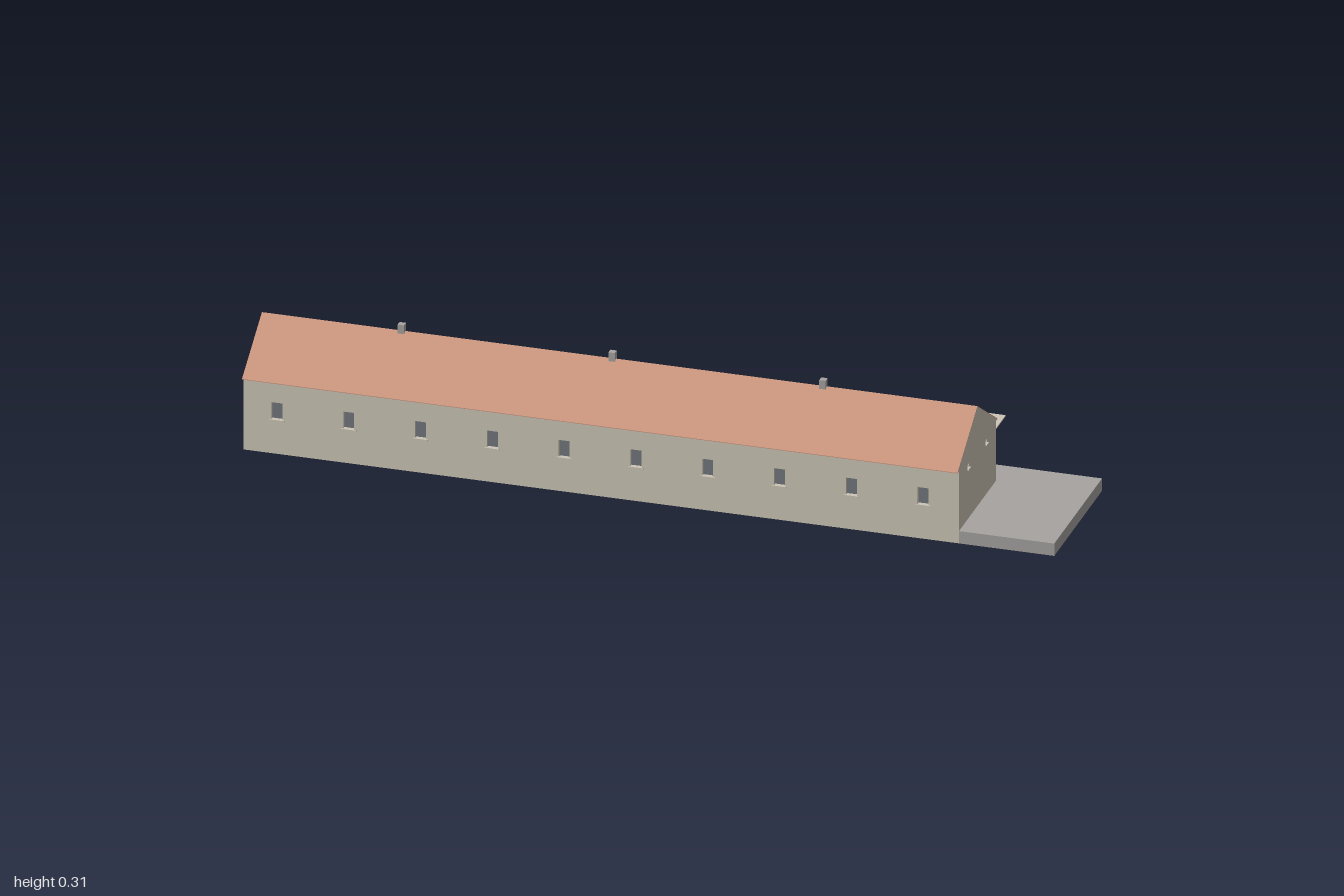
import * as THREE from 'three';

const mat = (name, color) => {
  const m = new THREE.MeshStandardMaterial({ color });
  m.name = name;
  return m;
};

export function createModel() {
  const group = new THREE.Group();
  const plaster = mat('plaster', 0xcdc6b6);
  const concrete = mat('concrete', 0xa6a3a0);
  const tile = mat('roof tile', 0xca957d);
  const glass = mat('glass', 0x72777e);
  const wood = mat('door wood', 0x84684f);

  const X0 = -1, X1 = 0.765, LEN = X1 - X0, CX = (X0 + X1) / 2;
  const ZF = 0.186, ZB = -0.11, EAVE = 0.187, RIDGE = 0.29, ZR = 0.038;
  const T = 0.014;

  const add = (name, geo, material, x = 0, y = 0, z = 0, parent = group) => {
    const mesh = new THREE.Mesh(geo, material);
    mesh.name = name;
    mesh.position.set(x, y, z);
    parent.add(mesh);
    return mesh;
  };
  const box = (name, material, w, h, d, x, y, z) =>
    add(name, new THREE.BoxGeometry(w, h, d), material, x, y, z);
  const poly = (pts) => new THREE.Shape(pts.map(([a, b]) => new THREE.Vector2(a, b)));
  const rect = (cx, y0, w, h) =>
    poly([[cx - w / 2, y0], [cx + w / 2, y0], [cx + w / 2, y0 + h], [cx - w / 2, y0 + h]]);
  const extrude = (shape, depth) =>
    new THREE.ExtrudeGeometry(shape, { depth, bevelEnabled: false });
  // Extrudes a (z, y) section along x, ending at x = xEnd
  const alongX = (name, shape, depth, xEnd, material) => {
    const mesh = add(name, extrude(shape, depth), material, xEnd);
    mesh.rotation.y = -Math.PI / 2;
    return mesh;
  };

  // Ground slab, reaching past one end and behind the house
  box('slab', concrete, 1.999, 0.032, 0.38, 0.0005, 0.016, -0.005);

  // Long walls with openings, panes, sills and doors
  const bays = Array.from({ length: 10 }, (_, i) => -0.917 + i * 0.1771);
  const longWall = (name, z, out, hasDoors) => {
    const shape = rect(CX, 0.0005, LEN, EAVE - 0.0005);
    const face = z - out * 0.0105;
    bays.forEach((x, i) => {
      if (hasDoors && i % 2 === 1) {
        shape.holes.push(rect(x, 0.033, 0.056, 0.1));
        box('door', wood, 0.058, 0.102, 0.003, x, 0.083, face);
      } else {
        shape.holes.push(rect(x, 0.088, 0.027, 0.045));
        box('window', glass, 0.029, 0.047, 0.003, x, 0.1105, face);
        box('windowSill', plaster, 0.037, 0.004, 0.014, x, 0.087, z - out * 0.004);
      }
    });
    add(name, extrude(shape, T), plaster, 0, 0, out > 0 ? z - T : z);
  };
  longWall('frontWall', ZF, 1, false);
  longWall('backWall', ZB, -1, true);

  // End walls; one has two small vent windows
  const endShape = () => rect((ZF + ZB) / 2, 0.0005, ZF - ZB, EAVE - 0.0005);
  alongX('plainEndWall', endShape(), T, X0 + T, plaster);
  const ventShape = endShape();
  for (const z of [0.111, -0.033]) {
    ventShape.holes.push(rect(z, 0.162, 0.012, 0.011));
    box('ventWindow', glass, 0.003, 0.013, 0.014, X1 - 0.0105, 0.1675, z);
    box('ventSill', plaster, 0.014, 0.003, 0.017, X1 - 0.003, 0.1615, z);
  }
  alongX('ventEndWall', ventShape, T, X1, plaster);

  // Gable prism with overhanging eaves, covered by thin roof sheets
  const EF = 0.197, EB = -0.121;
  alongX('gable', poly([[EB, EAVE], [EF, EAVE], [ZR, RIDGE]]), LEN, X1, plaster);
  for (const [name, e] of [['frontRoof', EF], ['backRoof', EB]]) {
    const pts = [[e, EAVE], [e, EAVE + 0.0015], [ZR, RIDGE + 0.0015], [ZR, RIDGE]];
    alongX(name, poly(pts), LEN, X1, tile);
  }

  // Flat canopy over the rear walkway
  box('canopy', plaster, LEN, 0.003, 0.076, CX, 0.1665, -0.148);

  // Chimneys along the ridge
  for (const x of [-0.655, -0.135, 0.385]) {
    box('chimney', concrete, 0.016, 0.04, 0.016, x, 0.289, ZR);
  }
  return group;
}
